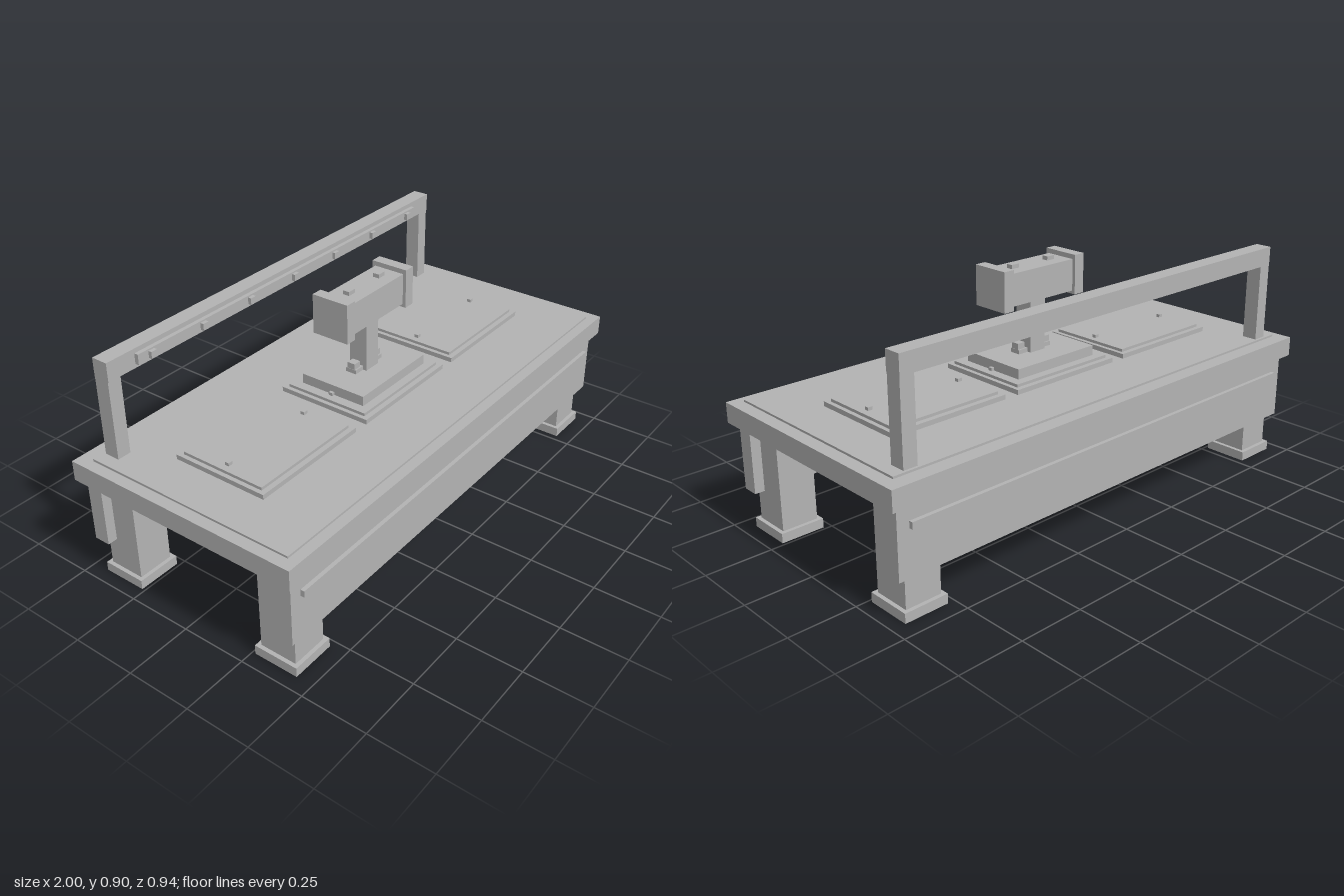
import * as THREE from 'three';

export function createModel() {
  const model = new THREE.Group();
  model.name = 'workTable';
  const grey = new THREE.MeshStandardMaterial({ color: 0xb3b3b3 });
  grey.name = 'plain grey';

  // Box given by its limits on each axis
  const box = (name, x0, x1, y0, y1, z0, z1) => {
    const mesh = new THREE.Mesh(new THREE.BoxGeometry(x1 - x0, y1 - y0, z1 - z0), grey);
    mesh.position.set((x0 + x1) / 2, (y0 + y1) / 2, (z0 + z1) / 2);
    mesh.name = name;
    model.add(mesh);
  };
  // Box centred on cx, cz with half widths hx, hz
  const block = (name, cx, cz, hx, hz, y0, y1) =>
    box(name, cx - hx, cx + hx, y0, y1, cz - hz, cz + hz);

  // Table top with a slightly raised sheet
  block('tableTop', 0, 0, 1, 0.47, 0.41, 0.486);
  box('topSheet', -0.957, 0.952, 0.486, 0.494, -0.413, 0.43);

  // Legs and feet
  for (const sx of [-1, 1]) {
    for (const sz of [-1, 1]) {
      block('leg', sx * 0.862, sz * 0.349, 0.07, 0.072, 0.035, 0.41);
      block('foot', sx * 0.862, sz * 0.349, 0.085, 0.087, 0, 0.036);
    }
  }

  // Front and back aprons with a long rail
  for (const s of [-1, 1]) {
    block('apron', 0, s * 0.413, 0.97, 0.032, 0.156, 0.405);
    block('apronRail', 0, s * 0.451, 0.923, 0.009, 0.326, 0.351);
  }

  // Boxes under the top
  block('underBlock', 0, 0, 0.19, 0.137, 0.366, 0.41);
  box('underBox', 0.37, 0.6, 0.38, 0.41, -0.1, 0.148);

  // Three stepped work plates with studs
  for (const cx of [-0.547, -0.002, 0.543]) {
    block('plateBase', cx, 0, 0.243, 0.19, 0.494, 0.512);
    block('plateTop', cx, 0, 0.227, 0.17, 0.512, 0.523);
    for (const s of [-1, 1]) block('stud', cx + s * 0.193, 0, 0.009, 0.008, 0.523, 0.535);
  }

  // Central pedestal, column and clamps
  block('pedestal', -0.002, 0, 0.19, 0.137, 0.523, 0.561);
  block('column', -0.002, 0, 0.036, 0.037, 0.561, 0.77);
  for (const s of [-1, 1]) {
    block('clampBase', -0.002 + s * 0.057, 0, 0.023, 0.022, 0.561, 0.577);
    block('clamp', -0.002 + s * 0.063, 0, 0.016, 0.016, 0.577, 0.6);
  }

  // Head with end caps and top buttons
  block('headBody', -0.002, 0, 0.16, 0.062, 0.765, 0.885);
  for (const s of [-1, 1]) {
    block('headCap', -0.002 + s * 0.175, 0, 0.022, 0.075, 0.753, 0.903);
    block('headButton', -0.002 + s * 0.088, 0, 0.017, 0.013, 0.885, 0.9);
  }

  // Rear frame with its strip of pegs
  for (const s of [-1, 1]) block('framePost', -0.002 + s * 0.88, -0.373, 0.027, 0.03, 0.49, 0.8);
  block('frameBeam', -0.002, -0.372, 0.907, 0.032, 0.792, 0.863);
  block('pegStrip', -0.002, -0.334, 0.788, 0.01, 0.807, 0.846);
  for (let i = -3; i <= 3; i++) block('peg', -0.002 + i * 0.243, -0.318, 0.013, 0.008, 0.814, 0.84);

  return model;
}
